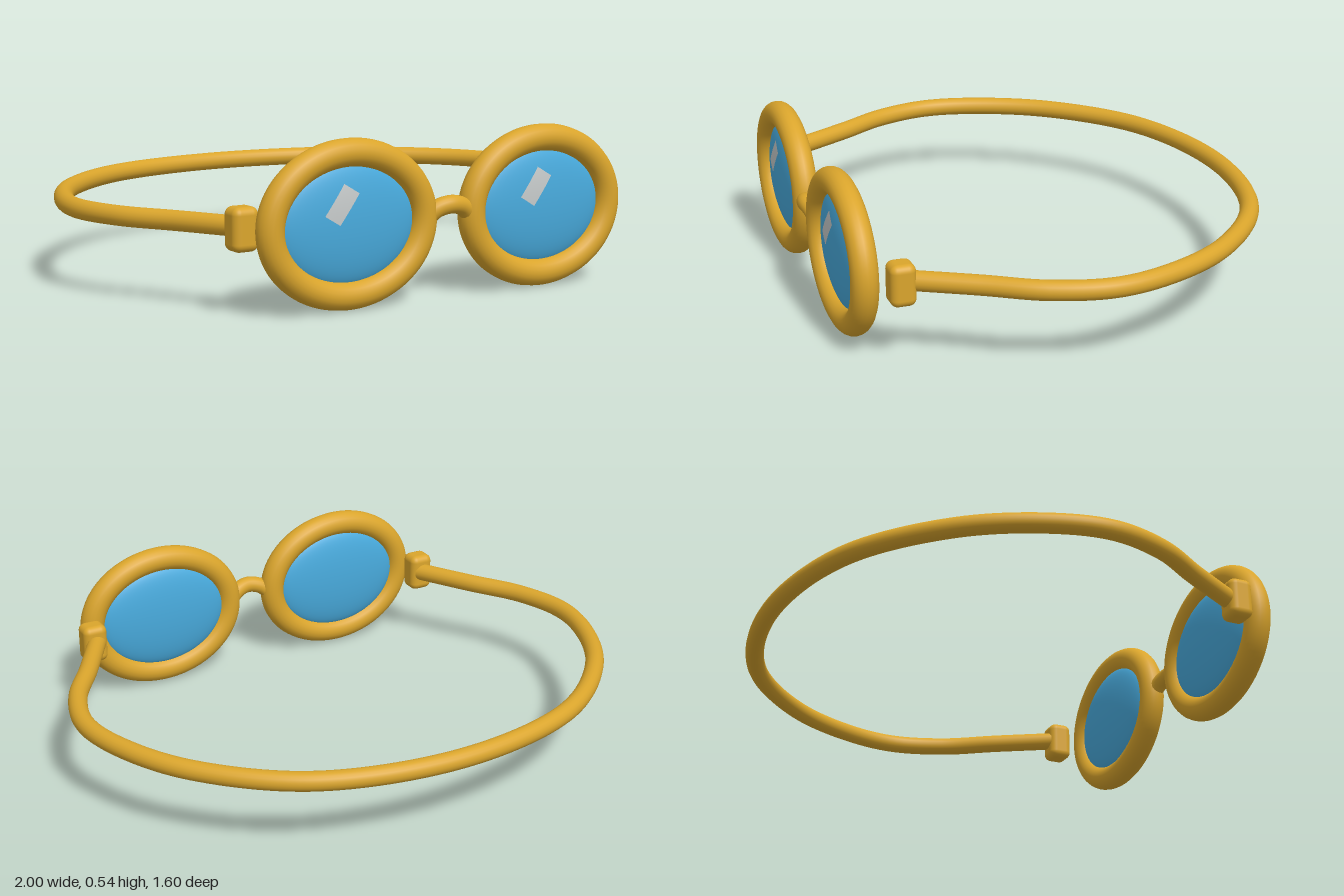
import * as THREE from 'three';
import { RoundedBoxGeometry } from 'three/addons/geometries/RoundedBoxGeometry.js';

const gold = new THREE.MeshStandardMaterial({ name: 'gold', color: 0xdaa52c });
const blue = new THREE.MeshStandardMaterial({ name: 'lens blue', color: 0x48aadc });
const pale = new THREE.MeshStandardMaterial({ name: 'glint grey', color: 0xc4c8c8, side: THREE.DoubleSide });

const MID_Y = 0.275;
const LENS = new THREE.Vector3(0.25, 0.195, 0.045); // lens radii

function add(parent, name, geometry, material, x = 0, y = 0, z = 0) {
  const mesh = new THREE.Mesh(geometry, material);
  mesh.name = name;
  mesh.position.set(x, y, z);
  parent.add(mesh);
  return mesh;
}

function tube(points, radius, segments, closed = false) {
  const curve = new THREE.CatmullRomCurve3(points.map((p) => new THREE.Vector3(...p)), closed, 'centripetal');
  return new THREE.TubeGeometry(curve, segments, radius, 20, closed);
}

// Oval rim of even thickness
function rimGeometry() {
  const points = [];
  for (let i = 0; i < 32; i++) {
    const a = (i / 32) * Math.PI * 2;
    points.push([0.28 * Math.cos(a), 0.225 * Math.sin(a), 0]);
  }
  return tube(points, 0.045, 96, true);
}

// Slanted highlight that hugs the front of the lens
function glintGeometry() {
  const geometry = new THREE.PlaneGeometry(1, 1, 6, 6);
  const pos = geometry.attributes.position;
  for (let i = 0; i < pos.count; i++) {
    const u = pos.getX(i) + 0.5, v = pos.getY(i) + 0.5;
    const x = -0.105 + 0.052 * u + 0.073 * v;
    const y = 0.037 - 0.032 * u + 0.095 * v;
    const z = LENS.z * Math.sqrt(1 - (x / LENS.x) ** 2 - (y / LENS.y) ** 2);
    pos.setXYZ(i, x, y, z + 0.004);
  }
  geometry.computeVertexNormals();
  return geometry;
}

export function createModel() {
  const model = new THREE.Group();
  model.name = 'goggles';

  for (const side of [1, -1]) {
    const label = side > 0 ? 'left' : 'right';

    // Eyepiece: rim, lens and highlight
    const eye = new THREE.Group();
    eye.name = label + 'Eyepiece';
    eye.position.set(side * 0.375, MID_Y, 0.75);
    model.add(eye);
    add(eye, label + 'Rim', rimGeometry(), gold);
    const lens = new THREE.SphereGeometry(1, 48, 32).scale(LENS.x, LENS.y, LENS.z);
    add(eye, label + 'Lens', lens, blue, 0, 0, -0.01);
    add(eye, label + 'Glint', glintGeometry(), pale, 0, 0, -0.01);

    // Clip holding the strap end
    add(model, label + 'Clip', new RoundedBoxGeometry(0.09, 0.14, 0.085, 4, 0.025), gold,
      side * 0.695, MID_Y, 0.645);
  }

  // Arched nose bridge
  add(model, 'bridge', tube([
    [-0.09, 0.265, 0.75], [-0.05, 0.298, 0.762], [0, 0.31, 0.77], [0.05, 0.298, 0.762], [0.09, 0.265, 0.75],
  ], 0.03, 32), gold);

  // Head strap, mirrored from one half
  const half = [[0.69, 0.62], [0.805, 0.42], [0.915, 0.24], [0.967, 0.04], [0.925, -0.17], [0.785, -0.42], [0.48, -0.67]];
  const path = [...half, [0, -0.77], ...half.map(([x, z]) => [-x, z]).reverse()];
  add(model, 'strap', tube(path.map(([x, z]) => [x, 0.278, z]), 0.033, 128), gold);

  return model;
}
